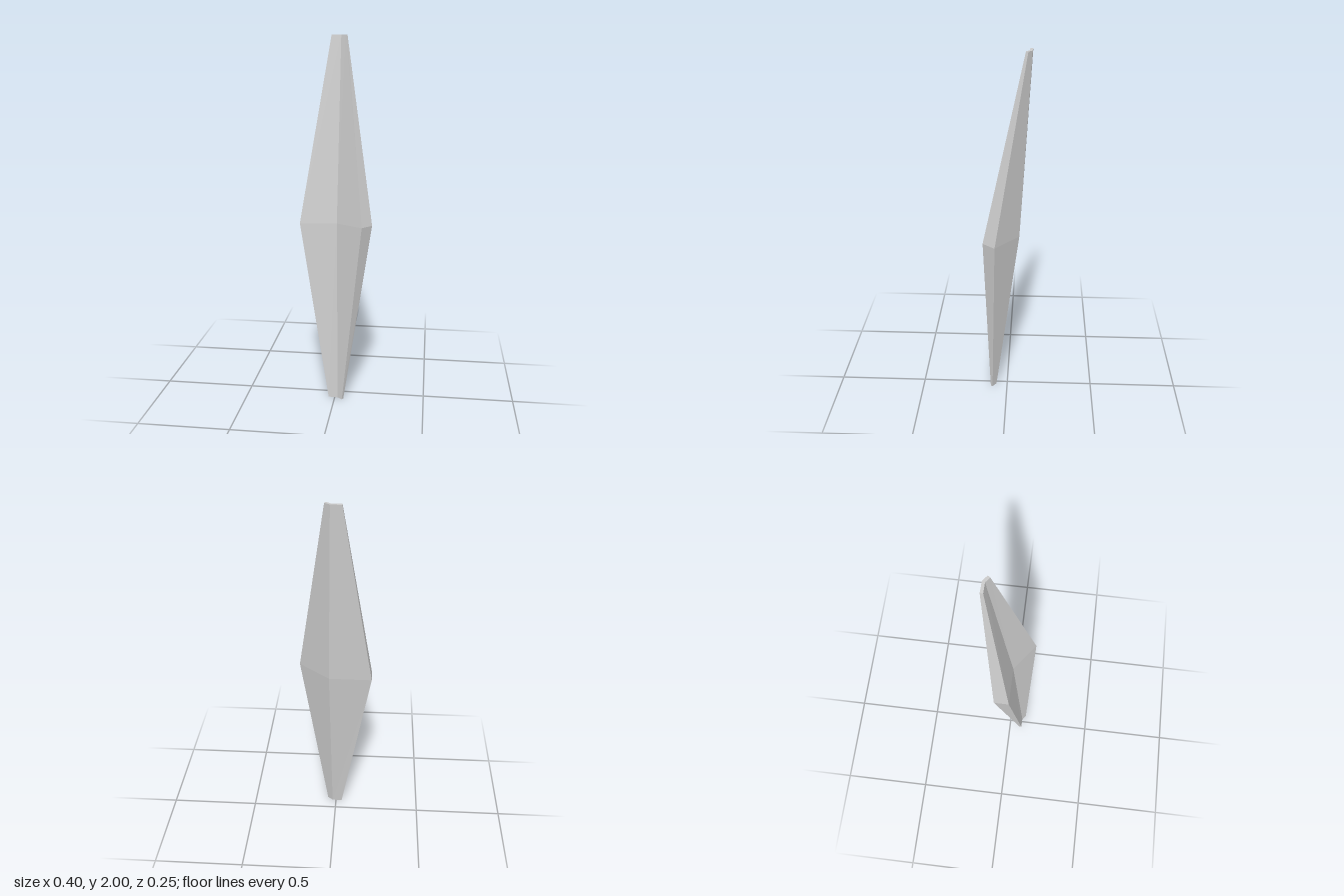
import * as THREE from 'three';

// Bent-plate cross-sections, bottom to top. Corners [x, z, y offset] run
// front left, front bend, front right, back right, back bend, back left.
const SECTIONS = [
  { y: 0, ring: [[-0.035, 0.075], [0.017, 0.077], [0.043, 0.097], [0.05, 0.086], [0.021, 0.064], [-0.035, 0.062]] },
  { y: 1, ring: [[-0.2, 0.013], [0.004, 0.013, 0.005], [0.15, 0.124, 0.012], [0.2, 0.058, 0.01], [0.031, -0.067], [-0.2, -0.068]] },
  { y: 2, ring: [[-0.04, -0.112], [0.012, -0.111], [0.038, -0.092], [0.046, -0.104], [0.018, -0.125], [-0.04, -0.127]] },
];

function loft(sections) {
  const n = sections[0].ring.length;
  const positions = sections.flatMap(({ y, ring }) => ring.flatMap(([x, z, dy = 0]) => [x, y + dy, z]));
  const index = [];
  const quad = (a, b, c, d) => index.push(a, b, c, a, c, d);

  // Side walls
  for (let s = 0; s < sections.length - 1; s++) {
    for (let i = 0; i < n; i++) {
      const j = (i + 1) % n;
      quad(s * n + i, s * n + j, (s + 1) * n + j, (s + 1) * n + i);
    }
  }

  // End caps, split along the bend
  const top = (sections.length - 1) * n;
  for (let i = 0; i < n / 2 - 1; i++) {
    const [a, b, c, d] = [i, i + 1, n - 2 - i, n - 1 - i];
    quad(d, c, b, a);
    quad(top + a, top + b, top + c, top + d);
  }

  const geometry = new THREE.BufferGeometry();
  geometry.setAttribute('position', new THREE.Float32BufferAttribute(positions, 3));
  geometry.setIndex(index);
  const flat = geometry.toNonIndexed();
  flat.computeVertexNormals();
  return flat;
}

export function createModel() {
  const group = new THREE.Group();
  group.name = 'bentShard';
  const material = new THREE.MeshStandardMaterial({ color: 0xcccccc, flatShading: true });
  const blade = new THREE.Mesh(loft(SECTIONS), material);
  blade.name = 'taperedBlade';
  group.add(blade);
  return group;
}
